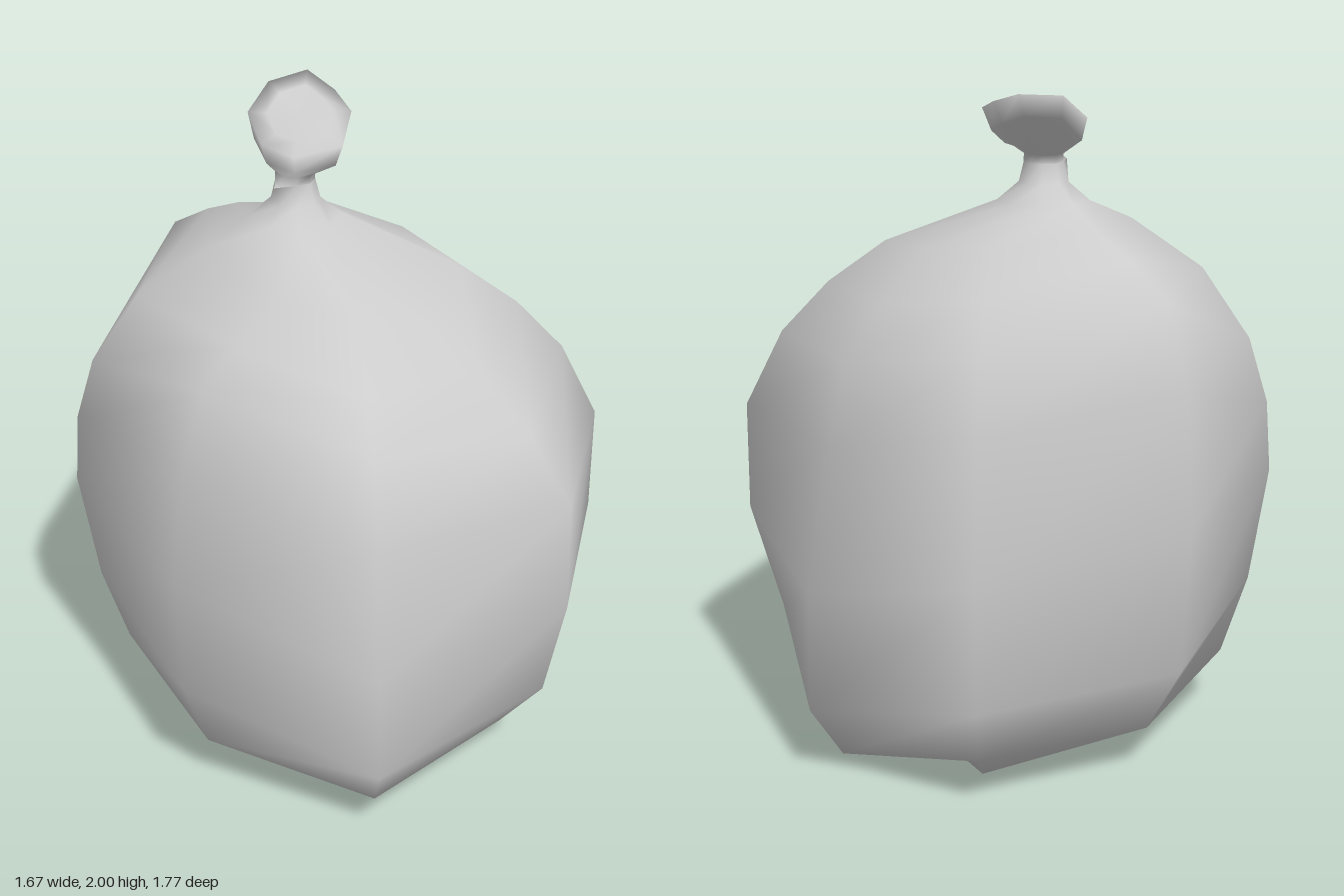
import * as THREE from 'three';

// Eight pleats around the sack, clockwise from the back seen from above:
// dir = [x, z] heading, then profile pairs [radius, height] from the base up.
const pleats = [
  { dir: [0.05, -0.88], profile: [[.45, .03], [.71, .14], [.85, .36], [.885, .79], [.855, 1.2], [.765, 1.44], [.6, 1.535], [.45, 1.6]] },
  { dir: [0.66, -0.65], profile: [[.69, .05], [.82, .15], [.89, .32], [.925, .7], [.845, 1.11], [.735, 1.31], [.6, 1.44], [.4, 1.55]] },
  { dir: [0.82, -0.1], profile: [[.35, .01], [.71, .04], [.838, .22], [.832, .58], [.74, 1], [.67, 1.24], [.525, 1.39], [.34, 1.53]] },
  { dir: [0.58, 0.56], profile: [[.4, .02], [.6, .11], [.71, .3], [.81, .64], [.81, .98], [.69, 1.22], [.54, 1.38], [.36, 1.51]] },
  { dir: [0, 0.87], profile: [[.37, .03], [.66, .14], [.815, .34], [.885, .67], [.875, 1.02], [.725, 1.19], [.53, 1.34], [.36, 1.43]] },
  { dir: [-0.63, 0.69], profile: [[.62, .06], [.83, .15], [.925, .3], [.9, .62], [.855, 1.03], [.75, 1.27], [.6, 1.38], [.35, 1.51]] },
  { dir: [-0.83, 0.08], profile: [[.48, .06], [.715, .18], [.815, .43], [.838, .81], [.775, 1.17], [.68, 1.38], [.53, 1.46], [.33, 1.53]] },
  { dir: [-0.58, -0.61], profile: [[.53, .03], [.71, .19], [.79, .44], [.845, .8], [.83, 1.02], [.77, 1.22], [.62, 1.44], [.4, 1.59]] },
];
const N = pleats.length;
const headings = pleats.map((p) => new THREE.Vector2(...p.dir).normalize());

// Ring of points around the gathered neck
function neckRing(radius, y) {
  return headings.map((h) => new THREE.Vector3(-0.03 + h.x * radius, y, -0.16 + h.y * radius));
}

// Skin stacked rings, with an optional centre point closing either end
function skin(name, rings, { bottom, top }, material) {
  const points = rings.flat();
  const index = [];
  for (let i = 0; i < rings.length - 1; i++) {
    for (let j = 0; j < N; j++) {
      const a = i * N + j, b = i * N + ((j + 1) % N);
      index.push(a, a + N, b, b, a + N, b + N);
    }
  }
  const last = (rings.length - 1) * N;
  if (bottom) {
    const c = points.push(bottom) - 1;
    for (let j = 0; j < N; j++) index.push(c, j, (j + 1) % N);
  }
  if (top) {
    const c = points.push(top) - 1;
    for (let j = 0; j < N; j++) index.push(c, last + ((j + 1) % N), last + j);
  }
  const geometry = new THREE.BufferGeometry().setFromPoints(points);
  geometry.setIndex(index);
  geometry.computeVertexNormals();
  const mesh = new THREE.Mesh(geometry, material);
  mesh.name = name;
  return mesh;
}

export function createModel() {
  const group = new THREE.Group();
  group.name = 'tiedSack';
  const material = new THREE.MeshStandardMaterial({ color: 0xcccccc, side: THREE.DoubleSide });

  // Bulging sack drawn in to the neck
  const sackRings = pleats[0].profile.map((_, level) =>
    pleats.map((p, j) => {
      const [r, y] = p.profile[level];
      return new THREE.Vector3(headings[j].x * r, y, headings[j].y * r);
    }));
  const throat = neckRing(0.06, 1.77);
  throat[6].x -= 0.04; // small pinched fold beside the tie
  sackRings.push(neckRing(0.14, 1.655), neckRing(0.075, 1.71), throat);
  group.add(skin('sack', sackRings, { bottom: new THREE.Vector3(0.06, 0, -0.06) }, material));

  // Slanted tuft of plastic above the tie
  const rim = [
    [.1, 1.99, -.385], [.24, 2, -.35], [.22, 1.97, -.22], [.17, 1.94, -.11],
    [.05, 1.88, -.04], [-.1, 1.87, -.1], [-.09, 1.875, -.24], [0, 1.92, -.38],
  ].map((p) => new THREE.Vector3(...p));
  const centre = new THREE.Vector3(0.07, 1.93, -0.22);
  const pinch = neckRing(0.06, 1.795);
  const underside = rim.map((p, j) => {
    const q = p.clone().lerp(pinch[j], 0.22);
    q.y = Math.max(p.y - 0.07, 1.82);
    return q;
  });
  const lip = rim.map((p) => p.clone().lerp(centre, 0.35));
  group.add(skin('tiedTuft', [throat, pinch, underside, rim, lip], { top: centre }, material));

  return group;
}
